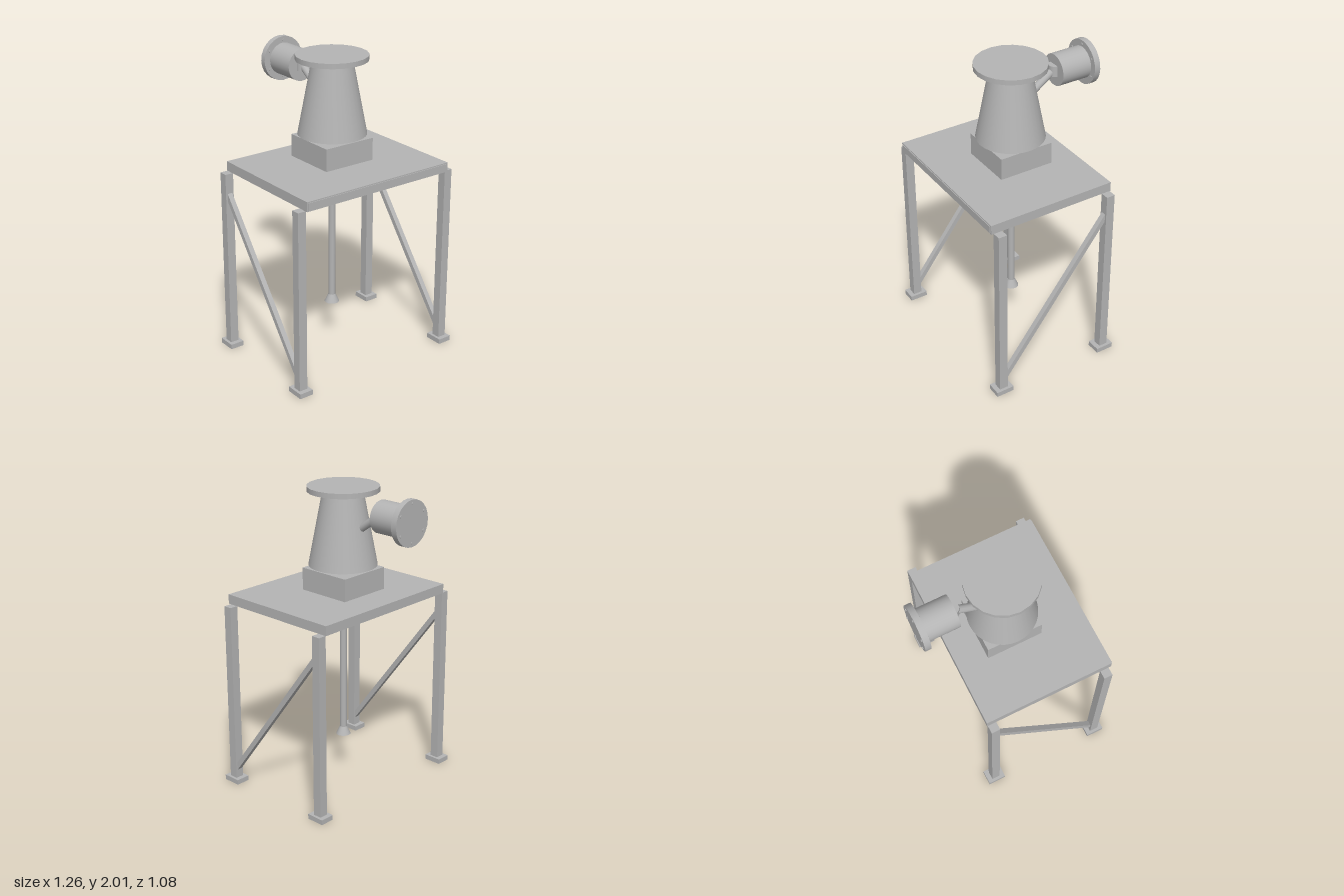
import * as THREE from 'three';

export function createModel() {
  const model = new THREE.Group();
  model.name = 'machineOnStand';
  const grey = new THREE.MeshStandardMaterial({ color: 0xb4b4b4 });
  grey.name = 'plainGrey';

  const add = (name, geometry, x, y, z) => {
    const mesh = new THREE.Mesh(geometry, grey);
    mesh.name = name;
    mesh.position.set(x, y, z);
    model.add(mesh);
    return mesh;
  };
  // box from its limits on each axis
  const box = (name, x0, x1, y0, y1, z0, z1) =>
    add(name, new THREE.BoxGeometry(x1 - x0, y1 - y0, z1 - z0),
      (x0 + x1) / 2, (y0 + y1) / 2, (z0 + z1) / 2);
  // upright cylinder or cone from y0 to y1
  const upright = (name, rTop, rBottom, y0, y1, z, sides) =>
    add(name, new THREE.CylinderGeometry(rTop, rBottom, y1 - y0, sides), 0, (y0 + y1) / 2, z);
  // cylinder lying along z
  const lying = (name, r, z0, z1, x, y, sides) => {
    const mesh = add(name, new THREE.CylinderGeometry(r, r, z1 - z0, sides), x, y, (z0 + z1) / 2);
    mesh.rotation.x = Math.PI / 2;
    return mesh;
  };

  // table top with a thin front lip
  box('tableTop', -0.555, 0.555, 1.24, 1.303, -0.348, 0.522);
  box('frontLip', -0.545, 0.545, 1.247, 1.296, 0.522, 0.527);

  // legs, feet and diagonal braces, mirrored on both sides
  for (const side of [-1, 1]) {
    for (const z of [-0.313, 0.475]) {
      const x = side * 0.58;
      box('leg', x - 0.029, x + 0.029, 0.033, 1.24, z - 0.029, z + 0.029);
      box('foot', x - 0.048, x + 0.048, 0, 0.033, z - 0.061, z + 0.061);
    }
    // outline drawn with x standing for -z
    const outline = new THREE.Shape([
      new THREE.Vector2(-0.45, 0.085), new THREE.Vector2(0.285, 1.053),
      new THREE.Vector2(0.285, 1.108), new THREE.Vector2(-0.45, 0.14),
    ]);
    const brace = new THREE.ExtrudeGeometry(outline, { depth: 0.034, bevelEnabled: false });
    brace.translate(0, 0, -0.017).rotateY(Math.PI / 2);
    add('brace', brace, side * 0.579, 0, 0);
  }

  // mounting block, tapered body and round lid
  box('mountingBlock', -0.184, 0.184, 1.315, 1.463, -0.153, 0.219);
  upright('taperedBody', 0.13, 0.223, 1.485, 1.968, 0.036, 32);
  upright('lid', 0.233, 0.233, 1.967, 2, 0.033, 20);

  // rod hanging under the table, with a flared end
  upright('hangingRod', 0.024, 0.024, 0.34, 1.317, 0.034, 12);
  upright('flaredEnd', 0.024, 0.049, 0.29, 0.345, 0.034, 16);

  // sloping arm from the body to the rear drum
  const from = new THREE.Vector3(0, 1.735, -0.1);
  const to = new THREE.Vector3(0, 1.862, -0.28);
  const middle = from.clone().add(to).multiplyScalar(0.5);
  const arm = add('arm', new THREE.CylinderGeometry(0.026, 0.026, from.distanceTo(to), 12),
    middle.x, middle.y, middle.z);
  arm.quaternion.setFromUnitVectors(new THREE.Vector3(0, 1, 0), to.clone().sub(from).normalize());
  upright('armKnuckle', 0.039, 0.039, 1.825, 1.897, -0.288, 16);

  // rear drum, its flange and a ring of bolts
  const axisY = 1.857;
  lying('drum', 0.105, -0.5, -0.286, 0, axisY, 32);
  lying('drumFlange', 0.148, -0.535, -0.495, 0, axisY, 24);
  for (let i = 0; i < 6; i++) {
    const a = (i * Math.PI) / 3;
    lying('bolt', 0.009, -0.54, -0.49, Math.sin(a) * 0.122, axisY + Math.cos(a) * 0.122, 8);
  }
  return model;
}
